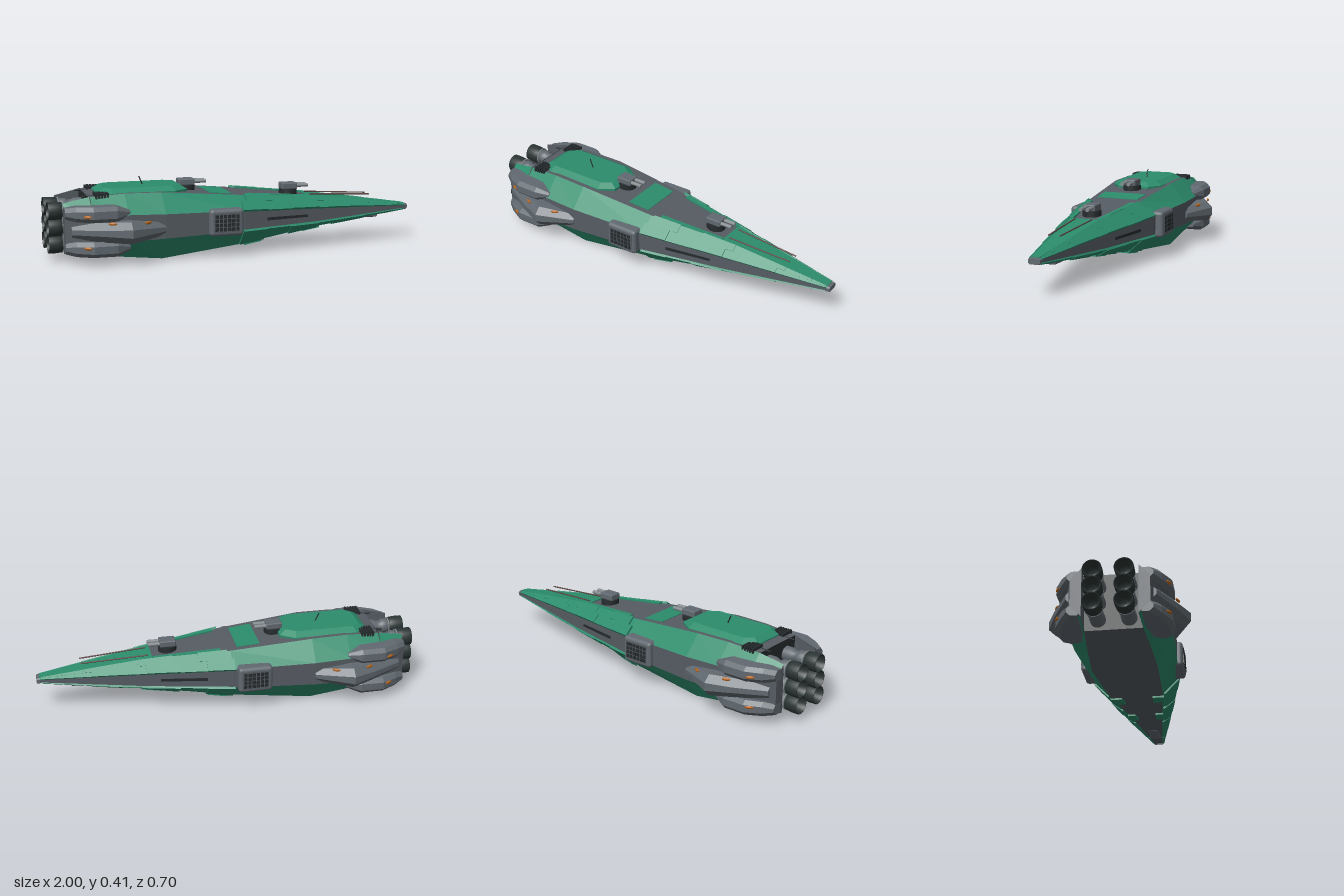
import * as THREE from 'three';
import { RoundedBoxGeometry } from 'three/addons/geometries/RoundedBoxGeometry.js';

const paint = (name, color) => Object.assign(new THREE.MeshStandardMaterial({ color }), { name });

// Hull stations: x, top y, top half-width, side upper y, side half-width, side lower y, bottom half-width, bottom y
const STATIONS = [
  [-0.93, 0.305, 0.135, 0.245, 0.19, 0.11, 0.135, 0.05],
  [-0.80, 0.333, 0.15, 0.25, 0.235, 0.11, 0.14, 0.037],
  [-0.62, 0.345, 0.16, 0.25, 0.252, 0.115, 0.155, 0.018],
  [-0.43, 0.343, 0.165, 0.245, 0.255, 0.12, 0.165, 0],
  [0, 0.305, 0.14, 0.235, 0.222, 0.13, 0.14, 0.045],
  [0.43, 0.266, 0.075, 0.215, 0.138, 0.137, 0.085, 0.104],
  [1, 0.187, 0.02, 0.182, 0.028, 0.168, 0.02, 0.162],
];

// Eight hull corners at x, counterclockwise seen from the bow
function corners(x) {
  let i = 0;
  while (i < STATIONS.length - 2 && STATIONS[i + 1][0] < x) i++;
  const a = STATIONS[i], b = STATIONS[i + 1], t = (x - a[0]) / (b[0] - a[0]);
  const [, ty, tw, su, sw, sl, bw, by] = a.map((v, k) => v + (b[k] - v) * t);
  const half = [[x, ty, tw], [x, su, sw], [x, sl, sw], [x, by, bw]];
  return [...half, ...flip(half)];
}
const flip = (ring) => ring.map(([x, y, z]) => [x, y, -z]).reverse();

// Flat-shaded skin over rings ordered from stern to bow
function loft(rings, closed = true, capped = true) {
  const p = [], n = rings[0].length;
  for (let r = 0; r < rings.length - 1; r++) {
    for (let i = 0; i < (closed ? n : n - 1); i++) {
      const j = (i + 1) % n;
      const [a, b, c, d] = [rings[r][i], rings[r][j], rings[r + 1][j], rings[r + 1][i]];
      p.push(...a, ...b, ...c, ...a, ...c, ...d);
    }
  }
  if (capped) {
    const s = rings[0], e = rings[rings.length - 1];
    for (let i = 1; i < n - 1; i++) p.push(...s[0], ...s[i + 1], ...s[i], ...e[0], ...e[i], ...e[i + 1]);
  }
  const g = new THREE.BufferGeometry();
  g.setAttribute('position', new THREE.Float32BufferAttribute(p, 3));
  g.computeVertexNormals();
  return g;
}

export function createModel() {
  const root = new THREE.Group();
  root.name = 'starship';
  const green = paint('green armour', 0x2c8c6c);
  const grey = paint('hull grey', 0x565c63);
  const podGrey = paint('pod grey', 0x616970);
  const dark = paint('dark recess', 0x262b2d);
  const light = paint('light metal', 0x858c90);
  const orange = paint('orange marker', 0xb8661c);
  const brown = paint('rail brown', 0x5a4340);
  const bellMat = paint('engine bell', 0x2b3534);
  bellMat.side = THREE.DoubleSide;

  const add = (name, geo, mat, x = 0, y = 0, z = 0) => {
    const m = new THREE.Mesh(geo, mat);
    m.name = name;
    m.position.set(x, y, z);
    root.add(m);
    return m;
  };
  const box = (name, mat, w, h, d, x, y, z) => add(name, new THREE.BoxGeometry(w, h, d), mat, x, y, z);
  const rod = (name, mat, a, b, r) => {
    const A = new THREE.Vector3(...a), B = new THREE.Vector3(...b);
    const m = add(name, new THREE.CylinderGeometry(r, r, A.distanceTo(B), 12), mat);
    m.position.copy(A).add(B).multiplyScalar(0.5);
    m.quaternion.setFromUnitVectors(new THREE.Vector3(0, 1, 0), B.sub(A).normalize());
  };
  const loftPair = (name, rings, mat) => {
    add(name + 'Left', loft(rings), mat);
    add(name + 'Right', loft(rings.map(flip)), mat);
  };

  // Main hull: eight long facets, alternating paint
  const xs = STATIONS.slice(1).map((s) => s[0]);
  const facets = ['upperChamfer', 'side', 'lowerChamfer', 'belly', 'lowerChamfer', 'side', 'upperChamfer', 'deck'];
  facets.forEach((name, i) => {
    const rings = xs.map((x) => { const c = corners(x); return [c[i], c[(i + 1) % 8]]; });
    add(name, loft(rings, false, false), name.endsWith('Chamfer') ? green : grey);
  });
  // Dark bulkhead and grey nose cap close the ends
  add('engineBulkhead', loft([corners(-0.8), corners(-0.795)]), dark);
  add('noseCap', loft([corners(0.985), corners(1)].map((r) => r.map(([x, y, z]) => [x, 0.175 + (y - 0.175) * 1.15, z * 1.1]))), podGrey);

  // Stern walls on either side of the engine bay
  const wall = [-0.93, -0.8].map((x) => corners(x).slice(0, 4));
  loftPair('sternWall', wall, grey);
  const skin = (i) => wall.map((r) => [r[i], r[i + 1]].map(([x, y, z]) => [x, y + (i ? -0.002 : 0.002), z + 0.002]));
  for (const i of [0, 2]) {
    add('sternArmour', loft(skin(i), false, false), green);
    add('sternArmour', loft(skin(i).map(flip), false, false), green);
  }

  // Raised plate lying on hull facet e between fractions f0 and f1
  const plate = (name, mat, e, x0, x1, f0, f1, t, mirror = true) => {
    const rings = [x0, x1].map((x) => {
      const c = corners(x), a = c[e], b = c[(e + 1) % 8];
      const dy = b[1] - a[1], dz = b[2] - a[2], len = Math.hypot(dy, dz);
      const at = (f, h) => [x, a[1] + dy * f + (dz / len) * h, a[2] + dz * f - (dy / len) * h];
      return [at(f0, t), at(f1, t), at(f1, -0.004), at(f0, -0.004)];
    });
    if (mirror) loftPair(name, rings, mat);
    else add(name, loft(rings), mat);
  };

  // Overlapping bow armour
  const bow = [[-0.01, 0.13, 0.011], [0.12, 0.28, 0.007], [0.27, 0.44, 0.011], [0.43, 0.54, 0.007], [0.53, 0.72, 0.009], [0.71, 0.86, 0.006], [0.85, 0.98, 0.005]];
  bow.forEach(([a, b, t], i) => {
    plate('upperBowPlate', green, 0, a, b, 0.45, 1.04, t);
    plate('upperBowPlateInner', green, 0, a + 0.03, Math.min(b + 0.04, 0.98), -0.04, 0.46, t * 0.7 + 0.002);
    plate('lowerBowPlate', green, 2, a, b, -0.04, i % 2 ? 0.75 : 0.95, t * 0.8);
  });
  plate('bowDeck', green, 7, 0.4, 0.985, 0, 1, 0.005, false);
  plate('deckPanel', green, 7, -0.16, -0.04, 0.1, 0.9, 0.003, false);
  plate('deckEdge', green, 7, 0.05, 0.4, 0.9, 1.02, 0.008);
  for (const x of [0.02, 0.36]) plate('bellyTab', green, 3, x, x + 0.1, -0.02, 0.2, 0.01);
  plate('sideSlot', dark, 1, 0.13, 0.37, 0.42, 0.58, 0.003);
  add('keelSensor', new RoundedBoxGeometry(0.13, 0.024, 0.06, 2, 0.01), podGrey, 0.76, 0.136, 0);

  // Raised aft deck with bevelled rim
  const s = new THREE.Shape();
  [[-0.71, 0.07], [-0.67, 0.105], [-0.36, 0.105], [-0.31, 0.07], [-0.31, -0.07], [-0.36, -0.105], [-0.67, -0.105], [-0.71, -0.07]]
    .forEach(([x, y], i) => (i ? s.lineTo(x, y) : s.moveTo(x, y)));
  const deck = new THREE.ExtrudeGeometry(s, { depth: 0.012, bevelEnabled: true, bevelSize: 0.035, bevelThickness: 0.022, bevelSegments: 1 });
  add('aftDeck', deck.rotateX(-Math.PI / 2), green, 0, 0.331, 0);
  rod('antenna', dark, [-0.49, 0.36, 0], [-0.51, 0.407, 0], 0.003);

  // Twin-barrel turrets
  for (const [x, y] of [[-0.26, 0.385], [0.31, 0.337]]) {
    add('turretRing', new THREE.CylinderGeometry(0.048, 0.05, 0.06, 24), dark, x, y - 0.063, 0);
    add('turretHouse', new RoundedBoxGeometry(0.085, 0.034, 0.068, 2, 0.006), podGrey, x, y - 0.017, 0);
    for (const z of [-0.018, 0.018]) rod('turretBarrel', light, [x + 0.03, y - 0.016, z], [x + 0.105, y - 0.016, z], 0.01);
  }

  for (const k of [-1, 1]) {
    // Bow rails, stern rods and cooling ribs
    rod('bowRail', brown, [0.42, 0.275, 0.045 * k], [0.77, 0.255, 0.03 * k], 0.0035);
    rod('sternRod', dark, [-0.83, 0.331, 0.1 * k], [-0.7, 0.334, 0.1 * k], 0.004);
    for (let i = 0; i < 5; i++) box('coolingRib', dark, 0.01, 0.026, 0.08, -0.765 + i * 0.015, 0.337, 0.125 * k);

    // Side vent with a grid of dark cells
    add('ventFrame', new RoundedBoxGeometry(0.18, 0.14, 0.07, 2, 0.018), podGrey, -0.11, 0.185, 0.23 * k);
    box('ventPanel', grey, 0.14, 0.1, 0.004, -0.11, 0.185, 0.265 * k);
    for (let i = 0; i < 6; i++) for (let j = 0; j < 4; j++)
      box('ventCell', dark, 0.017, 0.018, 0.004, -0.165 + i * 0.022, 0.152 + j * 0.022, 0.267 * k);

    // Orange markers on the pods
    for (const [x, y, z, turn] of [[-0.83, 0.252, 0.267, 0.5], [-0.83, 0.095, 0.267, 0.5], [-0.53, 0.215, 0.294, -0.45], [-0.71, 0.218, 0.295, 0.4]]) {
      const m = add('markerLight', new THREE.SphereGeometry(1, 12, 8), orange, x, y, z * k);
      m.scale.set(0.022, 0.008, 0.006);
      m.rotation.y = -turn * k;
    }
  }

  // Flank pods: stations of x, outer z, half-height
  const pod = (name, y, chamfer, stations) => loftPair(name, stations.map(([x, z, h]) => {
    const c = Math.min(chamfer, h * 0.7);
    return [[x, y + h, 0.15], [x, y + h, z - c], [x, y + h - c, z], [x, y - h + c, z], [x, y - h, z - c], [x, y - h, 0.15]];
  }), podGrey);
  const small = [[-0.93, 0.205, 0.028], [-0.88, 0.24, 0.037], [-0.8, 0.28, 0.039], [-0.68, 0.28, 0.039], [-0.61, 0.245, 0.014]];
  pod('upperPod', 0.26, 0.02, small);
  pod('lowerPod', 0.084, 0.02, small);
  pod('middlePod', 0.17, 0.035, [[-0.9, 0.215, 0.04], [-0.74, 0.298, 0.05], [-0.62, 0.35, 0.056], [-0.43, 0.262, 0.034]]);

  // Six engines in two columns; profiles run aft from the bulkhead
  const V = (r, d) => new THREE.Vector2(r, d);
  const turned = (pts) => new THREE.LatheGeometry(pts.map(([r, d]) => V(r, d)), 24).toNonIndexed().rotateZ(Math.PI / 2);
  const body = turned([[0.038, 0], [0.038, 0.05], [0.03, 0.065], [0.03, 0.09], [0.039, 0.095], [0.039, 0.12], [0.034, 0.125], [0.034, 0.145]]);
  const bell = turned([[0.03, 0.138], [0.044, 0.14], [0.047, 0.17], [0.047, 0.21], [0.042, 0.21], [0.03, 0.16], [0, 0.15]]);
  for (const z of [-0.075, 0.075]) for (const y of [0.09, 0.175, 0.26]) {
    add('engineBody', body, podGrey, -0.79, y, z);
    add('engineBell', bell, bellMat, -0.79, y, z);
    const ring = add('engineRing', new THREE.TorusGeometry(0.041, 0.004, 6, 24), light, -0.922, y, z);
    ring.rotation.y = Math.PI / 2;
  }
  return root;
}
